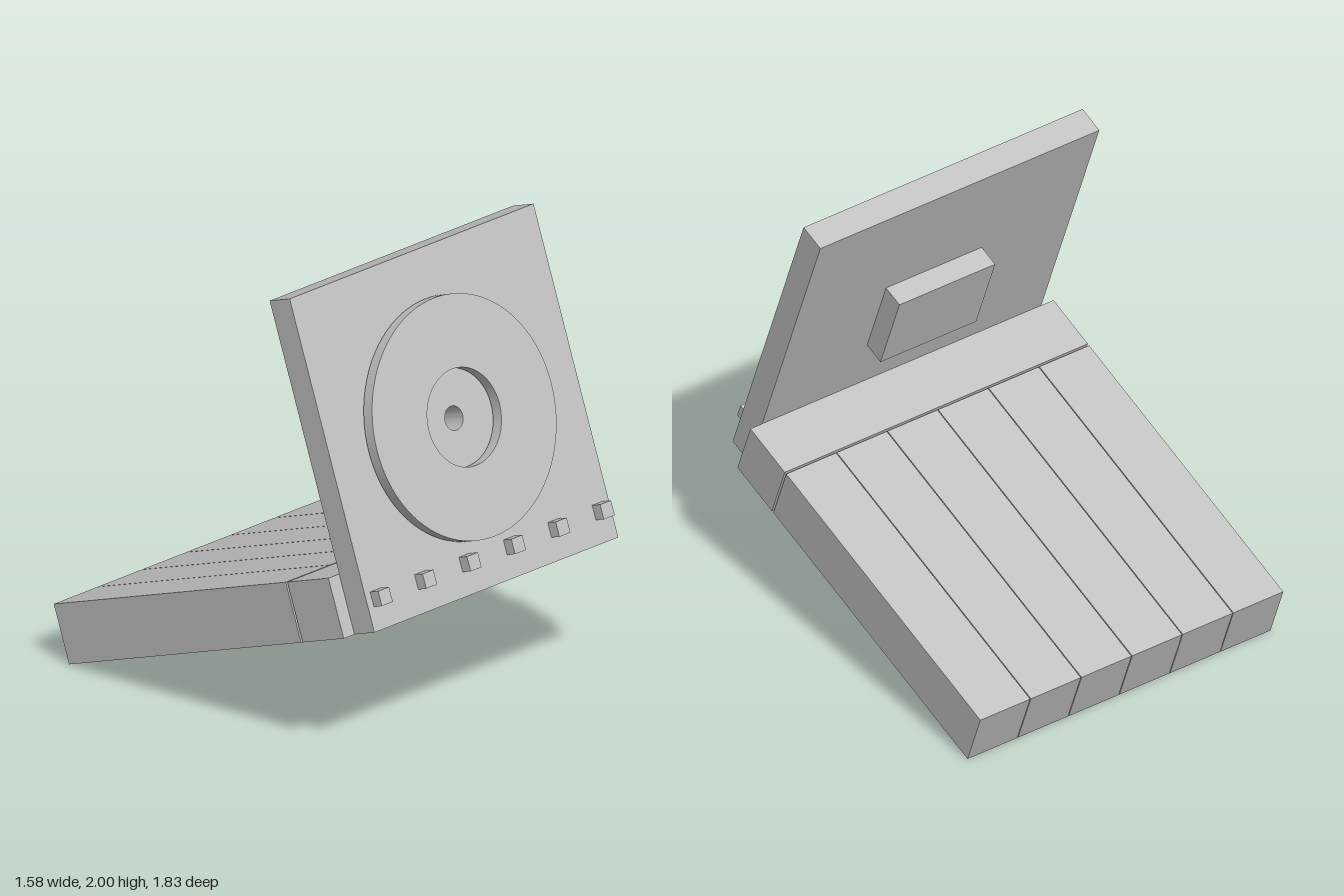
import * as THREE from 'three';
import { toCreasedNormals } from 'three/addons/utils/BufferGeometryUtils.js';

const gray = new THREE.MeshStandardMaterial({ color: 0xc0c0c0 });
gray.name = 'plain gray';

export function createModel() {
  const model = new THREE.Group();
  model.name = 'tiltedPanelAssembly';

  // All parts are square to one frame, leaning back 20 degrees.
  // Its origin is the lower back edge of the upright plate.
  const frame = new THREE.Group();
  frame.name = 'tiltedFrame';
  frame.position.set(0, 0.588, 0.79);
  frame.rotation.x = -THREE.MathUtils.degToRad(20);
  model.add(frame);

  const add = (name, geometry) => {
    const mesh = new THREE.Mesh(geometry, gray);
    mesh.name = name;
    frame.add(mesh);
    return mesh;
  };

  // Box given by its ranges along x, y and z
  const box = (name, [x0, x1], [y0, y1], [z0, z1]) =>
    add(name, new THREE.BoxGeometry(x1 - x0, y1 - y0, z1 - z0))
      .position.set((x0 + x1) / 2, (y0 + y1) / 2, (z0 + z1) / 2);

  // Flat shape with a round hole, extruded along z
  const holed = (name, shape, holeRadius, depth, y, z) => {
    const hole = new THREE.Path();
    hole.absarc(0, 0, holeRadius, 0, Math.PI * 2, true);
    shape.holes.push(hole);
    const geometry = new THREE.ExtrudeGeometry(shape, { depth, bevelEnabled: false, curveSegments: 48 });
    add(name, toCreasedNormals(geometry, 0.6)).position.set(0, y, z);
  };

  // Upright square plate with a small central bore
  const half = 0.729;
  const square = new THREE.Shape([
    new THREE.Vector2(-half, -half), new THREE.Vector2(half, -half),
    new THREE.Vector2(half, half), new THREE.Vector2(-half, half),
  ]);
  holed('uprightPlate', square, 0.052, 0.125, half, 0);

  // Ring floating just off the front of the plate
  const disc = new THREE.Shape();
  disc.absarc(0, 0, 0.521, 0, Math.PI * 2, false);
  holed('frontRing', disc, 0.21, 0.053, half, 0.137);

  // Block on the back of the plate, closing the bore
  box('backBlock', [-0.25, 0.25], [0.535, 0.925], [-0.1, 0]);

  // Row of small studs along the lower front
  for (let i = 0; i < 6; i++) {
    const x = (i - 2.5) * 0.2655;
    box('frontStud', [x - 0.0325, x + 0.0325], [0.103, 0.168], [0.125, 0.175]);
  }

  // Crosswise block behind the plate
  box('hingeBlock', [-0.793, 0.791], [0, 0.264], [-0.257, 0]);

  // Six long slats with narrow gaps, each joined by a thin tab
  for (let i = 0; i < 6; i++) {
    const x = -0.793 + i * 0.2645;
    box('slat', [x, x + 0.2605], [0, 0.264], [-1.719, -0.267]);
    box('slatTab', [x + 0.03, x + 0.23], [0.09, 0.17], [-0.269, -0.255]);
  }

  return model;
}
